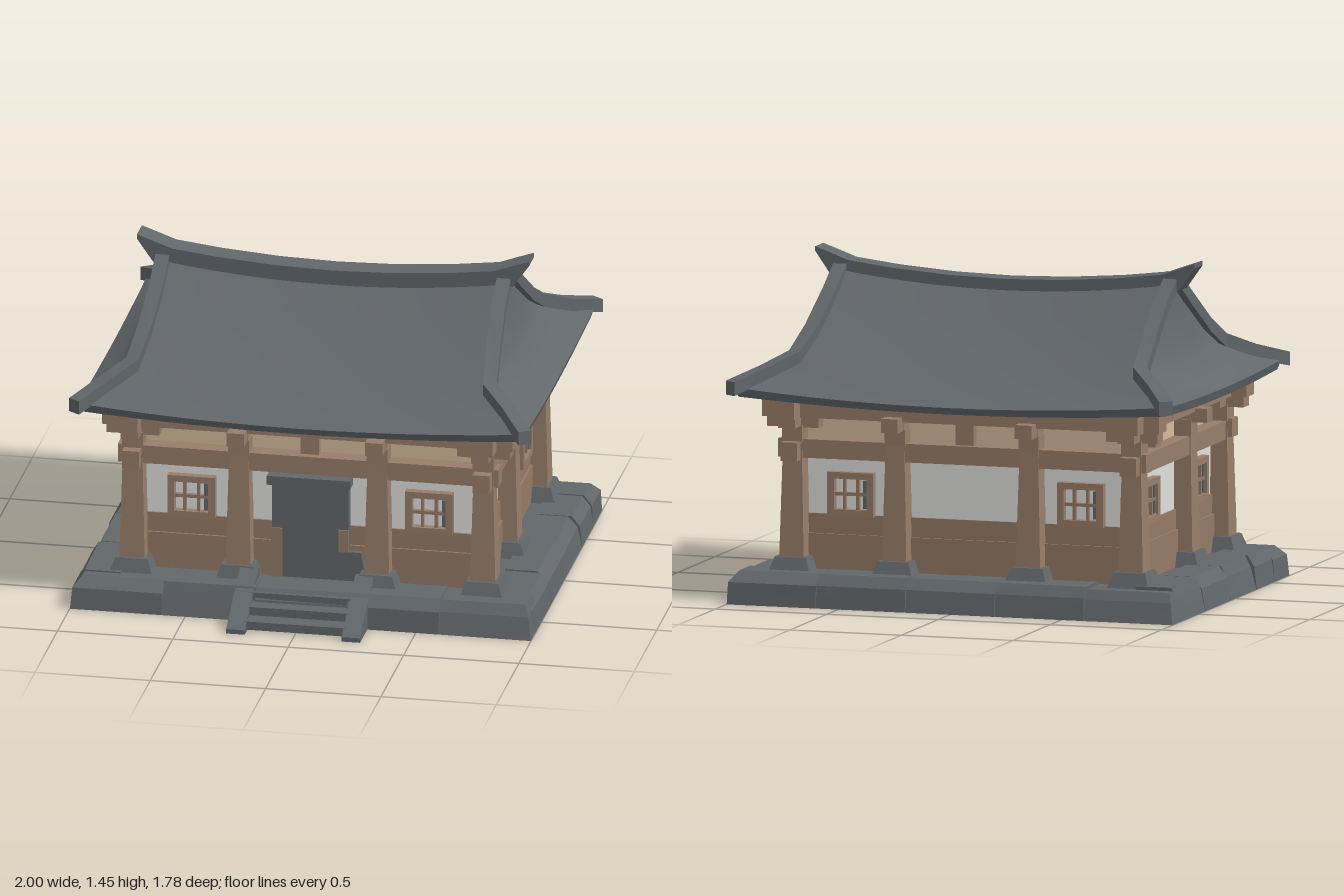
import * as THREE from 'three';
import { toCreasedNormals } from 'three/addons/utils/BufferGeometryUtils.js';

const paint = (name, color, side = THREE.FrontSide) => {
  const m = new THREE.MeshStandardMaterial({ color, side });
  m.name = name;
  return m;
};

export function createModel() {
  const slate = paint('slate', 0x62676b, THREE.DoubleSide);
  const timber = paint('timber', 0x987e6a, THREE.DoubleSide);
  const plank = paint('plank', 0x957a67);
  const plaster = paint('plaster', 0xe0e0dd);
  const tan = paint('tan', 0xd6bb9e);
  const earth = paint('earth', 0x84705e);

  const root = new THREE.Group();
  root.name = 'hall';
  const body = new THREE.Group();
  body.name = 'hallBody';
  body.position.z = -0.06;
  root.add(body);

  let seed = 7;
  const rand = () => ((seed = (seed * 16807) % 2147483647) / 2147483647) - 0.5;

  const add = (parent, name, geo, mat, x = 0, y = 0, z = 0) => {
    const m = new THREE.Mesh(geo, mat);
    m.name = name;
    m.position.set(x, y, z);
    parent.add(m);
    return m;
  };
  // Box given by centre x/z and bottom/top heights
  const box = (parent, name, mat, w, d, y0, y1, x = 0, z = 0) =>
    add(parent, name, new THREE.BoxGeometry(w, y1 - y0, d), mat, x, (y0 + y1) / 2, z);
  // Box with its top scaled
  const taper = (w, h, d, sx, sz) => {
    const g = new THREE.BoxGeometry(w, h, d), p = g.attributes.position;
    for (let i = 0; i < p.count; i++)
      if (p.getY(i) > 0) { p.setX(i, p.getX(i) * sx); p.setZ(i, p.getZ(i) * sz); }
    g.computeVertexNormals();
    return g;
  };
  // Surface from a grid of points
  const sheet = (rows, crease = 0.45) => {
    const n = rows[0].length, idx = [];
    for (let i = 0; i < rows.length - 1; i++)
      for (let j = 0; j < n - 1; j++) {
        const a = i * n + j, b = a + n;
        idx.push(a, b, a + 1, a + 1, b, b + 1);
      }
    const g = new THREE.BufferGeometry();
    g.setAttribute('position', new THREE.Float32BufferAttribute(rows.flat(2), 3));
    g.setIndex(idx);
    return toCreasedNormals(g, crease);
  };
  // Rectangular bar along a path of [x, y, z, optional height]
  const bar = (pts, w, h) => {
    const loops = pts.map((p, i) => {
      const a = pts[Math.max(i - 1, 0)], b = pts[Math.min(i + 1, pts.length - 1)];
      const dx = b[0] - a[0], dz = b[2] - a[2], l = Math.hypot(dx, dz);
      const sx = (-dz / l) * w / 2, sz = (dx / l) * w / 2, up = (p[3] ?? h) / 2;
      return [[1, 1], [1, -1], [-1, -1], [-1, 1], [1, 1]].map(([s, t]) => [p[0] + s * sx, p[1] + t * up, p[2] + s * sz]);
    });
    const cap = (p) => Array(5).fill(p.slice(0, 3));
    return sheet([cap(pts[0]), ...loops, cap(pts[pts.length - 1])]);
  };

  // Platform: a ring of uneven hollow blocks, open below, around a floor
  const stone = (len, x, z, turn, corner = 0) => {
    const h = 0.138 + rand() * 0.016, g = new THREE.BoxGeometry(len, h, 0.2, 1, 2, 1), p = g.attributes.position;
    const out = [0, 0.015 + rand() * 0.02, 0.05 + rand() * 0.03], skew = rand() * 0.03;
    for (let i = 0; i < p.count; i++) {
      const level = Math.round((p.getY(i) / h + 0.5) * 2), px = p.getX(i);
      if (p.getZ(i) > 0) p.setZ(i, p.getZ(i) - out[level] + (px > 0 ? skew : 0) * (level / 2));
      if (px * corner > 0) p.setX(i, px - corner * out[level] * 0.7);
      if (level === 1) p.setY(i, p.getY(i) + 0.025);
    }
    const idx = [...g.index.array];
    idx.splice(30, 6);
    g.setIndex(idx);
    add(body, 'platformStone', toCreasedNormals(g, 0.2), slate, x, h / 2, z).rotation.y = turn;
  };
  for (const s of [-1, 1]) {
    for (let i = -2; i < 3; i++) stone(0.398, i * 0.4, s * 0.69, s > 0 ? 0 : Math.PI, s * Math.trunc(i / 2));
    for (let i = 0; i < 4; i++) stone(0.34, s * 0.9, (i - 1.5) * 0.345, s * Math.PI / 2);
  }
  box(body, 'platformTop', slate, 1.8, 1.38, 0.115, 0.13);
  box(body, 'platformUnderside', earth, 1.6, 1.18, 0.08, 0.112);

  // Steps and their sloping side stones
  for (let i = 0; i < 3; i++) box(root, 'step', slate, 0.44, 0.27 - i * 0.07, 0.008 + i * 0.04, 0.045 + i * 0.04, 0, 0.715 - i * 0.035);
  const cheek = new THREE.Shape([[-0.89, 0], [-0.55, 0], [-0.55, 0.18], [-0.59, 0.19], [-0.89, 0.02]].map((p) => new THREE.Vector2(...p)));
  for (const s of [-1, 1]) {
    const m = add(root, 'stepSide', new THREE.ExtrudeGeometry(cheek, { depth: 0.08, bevelEnabled: false }), slate, s * 0.25 - 0.04, 0, 0);
    m.rotation.y = Math.PI / 2;
  }

  // Walls in three bands
  box(body, 'lowerWall', plank, 1.5, 1.13, 0.12, 0.29);
  box(body, 'lowerWallTop', plank, 1.48, 1.11, 0.29, 0.375);
  box(body, 'plasterWall', plaster, 1.46, 1.09, 0.375, 0.63);
  box(body, 'upperPanel', tan, 1.46, 1.09, 0.63, 0.84);

  // Columns, footings and brackets
  const post = (x, z) => {
    add(body, 'footing', taper(0.19, 0.07, 0.19, 0.74, 0.74), slate, x, 0.16, z);
    add(body, 'column', taper(0.11, 0.63, 0.11, 0.7, 0.7), timber, x, 0.5, z);
    box(body, 'bracketBlock', timber, 0.09, 0.09, 0.69, 0.76, x, z);
    if (Math.abs(z) > 0.5) box(body, 'bracketArm', timber, 0.075, 0.24, 0.755, 0.815, x, z);
    if (Math.abs(x) > 0.7) box(body, 'bracketArm', timber, 0.23, 0.075, 0.75, 0.81, x, z);
  };
  for (const z of [-0.58, 0.58]) for (const x of [-0.76, -0.3, 0.3, 0.76]) post(x, z);
  for (const x of [-0.76, 0.76]) post(x, 0.09);

  // Tie beams, eave plates and short struts
  for (const s of [-1, 1]) {
    box(body, 'tieBeam', timber, 1.65, 0.075, 0.62, 0.7, 0, s * 0.58);
    box(body, 'tieBeamSide', timber, 0.075, 1.34, 0.61, 0.69, s * 0.76, 0);
    box(body, 'eavePlate', timber, 1.78, 0.1, 0.795, 0.89, 0, s * 0.59);
    box(body, 'eavePlateSide', timber, 0.1, 1.44, 0.795, 0.89, s * 0.77, 0);
    box(body, 'strut', timber, 0.08, 0.05, 0.69, 0.81, 0, s * 0.56);
    box(body, 'strutSide', timber, 0.05, 0.07, 0.69, 0.81, s * 0.745, -0.29);
  }

  // Lattice windows
  const windowAt = (x, z, turn) => {
    const g = new THREE.Group();
    g.name = 'window';
    g.position.set(x, 0.465, z);
    g.rotation.y = turn;
    body.add(g);
    for (const s of [-1, 1]) {
      add(g, 'frameSide', new THREE.BoxGeometry(0.03, 0.18, 0.04), timber, s * 0.088, 0, 0);
      add(g, 'frameRail', new THREE.BoxGeometry(0.206, 0.028, 0.04), timber, 0, s * 0.08, 0);
      add(g, 'latticeUpright', new THREE.BoxGeometry(0.012, 0.15, 0.02), plank, s * 0.03, 0, 0);
    }
    add(g, 'latticeCross', new THREE.BoxGeometry(0.17, 0.014, 0.02), plank);
    add(g, 'shutterEdge', new THREE.BoxGeometry(0.022, 0.12, 0.02), slate, 0.066, 0, 0);
  };
  for (const s of [-1, 1]) {
    windowAt(s * 0.515, 0.56, 0);
    windowAt(s * 0.515, -0.56, Math.PI);
    windowAt(s * 0.745, -0.35, s * Math.PI / 2);
  }
  windowAt(-0.745, 0.31, -Math.PI / 2);

  // Door with plank jambs and a stone kerb beside it
  box(body, 'door', slate, 0.33, 0.05, 0.13, 0.57, 0.005, 0.57);
  box(body, 'doorLintel', slate, 0.36, 0.08, 0.56, 0.6, 0, 0.575);
  box(body, 'doorJamb', plank, 0.05, 0.008, 0.13, 0.36, -0.14, 0.597);
  box(body, 'doorJamb', plank, 0.045, 0.008, 0.27, 0.37, 0.15, 0.597);
  add(body, 'doorKerb', taper(0.17, 0.14, 0.04, 0.7, 1), slate, 0.165, 0.2, 0.575);

  // Roof rows: [half depth, half width, height, corner lift, bow along the side, side bulge]
  const tiles = [[0, 0.735, 1.325, 0.055, 0, 0], [0.18, 0.735, 1.195, 0.055, 0, 0.01], [0.38, 0.75, 1.065, 0.05, 0, 0.03],
    [0.55, 0.77, 0.98, 0.045, 0, 0.045], [0.66, 0.87, 0.925, 0.045, 0.2, 0.02], [0.77, 0.97, 0.885, 0.045, 0.4, 0], [0.755, 0.957, 0.855, 0.035, 0.5, 0]];
  const soffit = [tiles[6], [0.6, 0.79, 0.885, 0, 1, 0]];
  const span = Array.from({ length: 17 }, (_, i) => i / 8 - 1);
  const slope = (rows, s) => sheet(rows.map(([d, w, y, l]) => span.map((u) => [u * w * s, y + l * u * u, s * d])));
  const end = (rows, s) => sheet(rows.map(([d, w, y, l, b, o]) =>
    span.map((v) => [s * (w + o * (1 - v * v)), y + l * (1 - b + b * v * v), -s * v * d])), 0.9);
  for (const s of [-1, 1]) {
    add(body, 'roofSlope', slope(tiles, s), slate);
    add(body, 'roofEnd', end(tiles, s), slate);
    add(body, 'soffit', slope(soffit, s), timber);
    add(body, 'soffitEnd', end(soffit, s), timber);
    // Hip ribs running out to the raised corners
    for (const t of [-1, 1]) {
      const path = tiles.slice(0, 5).map(([d, w, y, l], i) => [s * (w + 0.005), y + l + (i ? 0.012 : -0.008), t * d]);
      path.push([s * 0.977, 0.932, t * 0.81]);
      add(body, 'hipRib', bar(path, 0.06, 0.06), slate);
    }
  }
  // Sagging ridge with upturned, pointed ends
  const ridge = [0, 0.25, 0.5, 0.7].map((x) => [x, 1.3 + 0.1 * x * x, 0.012]);
  ridge.push([0.78, 1.373, 0.012, 0.095], [0.85, 1.435, 0.012, 0.02]);
  const mirrored = ridge.slice(1).reverse().map(([x, ...rest]) => [-x, ...rest]);
  add(body, 'ridge', bar([...mirrored, ...ridge], 0.11, 0.085), slate);
  return root;
}
